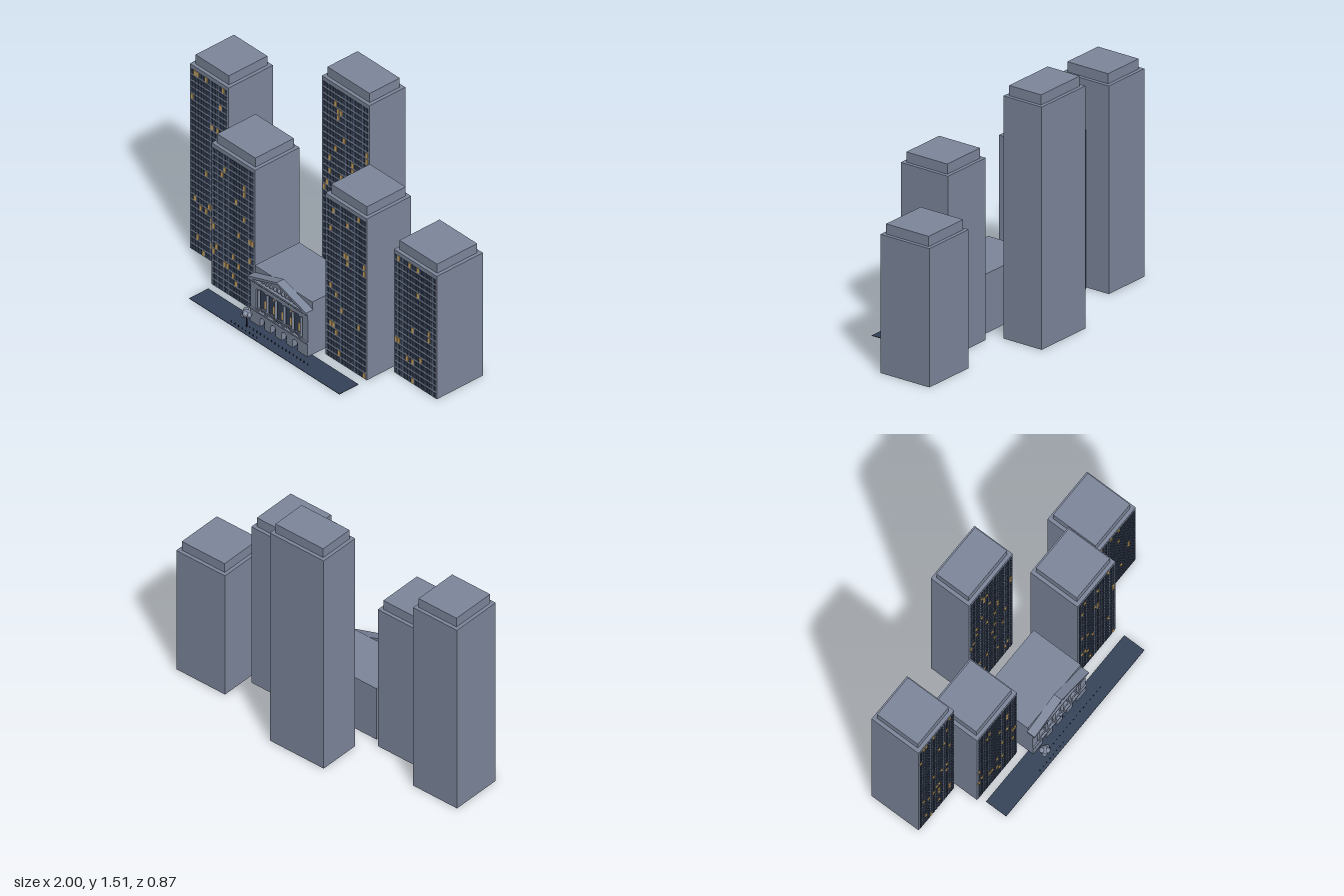
import * as THREE from 'three';
import { mergeGeometries } from 'three/addons/utils/BufferGeometryUtils.js';

const mat = (name, color) => new THREE.MeshStandardMaterial({ name, color });
const stone = mat('blue grey stone', 0x7d879c);
const dark = mat('dark navy glass', 0x344158);
const lit = mat('lit window gold', 0xd0a860);
const iron = mat('black iron', 0x1c222e);

// box from its min and max corners
function slab(x0, x1, y0, y1, z0, z1) {
  return new THREE.BoxGeometry(x1 - x0, y1 - y0, z1 - z0)
    .translate((x0 + x1) / 2, (y0 + y1) / 2, (z0 + z1) / 2);
}

// box centred on x and y
const plate = (x, y, w, h, z0, z1) => slab(x - w / 2, x + w / 2, y - h / 2, y + h / 2, z0, z1);

function part(group, name, geometry, material) {
  const mesh = new THREE.Mesh(Array.isArray(geometry) ? mergeGeometries(geometry) : geometry, material);
  mesh.name = name;
  group.add(mesh);
}

// flat outline pushed out along z
function extrude(shape, z, depth) {
  return new THREE.ExtrudeGeometry(shape, { depth, bevelEnabled: false, curveSegments: 10 }).translate(0, 0, z);
}

// small seeded generator in 0..1
function seeded(seed) {
  let s = seed;
  return () => (s = (s * 16807) % 2147483647) / 2147483647;
}

// tower with a set-back cap and a window grid on the front only
function tower(name, x0, x1, z0, z1, height, cols) {
  const g = new THREE.Group();
  g.name = name;
  const inset = 0.022, margin = 0.008;
  part(g, 'shaft', slab(x0, x1, 0, height, z0, z1), stone);
  part(g, 'roofCap', slab(x0 + inset, x1 - inset, height, height + 0.061, z0 + inset, z1 - inset), stone);
  const rows = Math.round(height / 0.0436);
  const px = (x1 - x0 - 2 * margin) / cols, py = (height - 0.02) / rows;
  const random = seeded(Math.round(height * 54321));
  const darkPanes = [], litPanes = [];
  for (let r = 0; r < rows; r++) for (let c = 0; c < cols; c++) {
    const glows = random() < 0.06;
    const x = x0 + margin + (c + 0.5) * px, y = (r + 0.5) * py;
    if (glows) litPanes.push(plate(x, y, 0.018, 0.032, z1 - 0.002, z1 + 0.003));
    else darkPanes.push(plate(x, y, 0.016, 0.029, z1 - 0.002, z1 + 0.003));
  }
  part(g, 'darkWindows', darkPanes, dark);
  part(g, 'litWindows', litPanes, lit);
  return g;
}

// classical hall with arcade, colonnade and pediment, built around x = 0
function hall() {
  const g = new THREE.Group();
  g.name = 'hall';
  g.position.x = -0.018;
  const W = 0.238, back = 0.286;
  part(g, 'hallBody', slab(-W, W, 0, 0.355, -0.045, back), stone);

  // arcade wall with four arched doorways
  const wall = new THREE.Shape();
  wall.moveTo(-W, 0).lineTo(W, 0).lineTo(W, 0.095).lineTo(-W, 0.095);
  for (let i = 0; i < 4; i++) {
    const x = (i - 1.5) * 0.09, r = 0.02;
    const hole = new THREE.Path();
    hole.moveTo(x - r, 0.002).lineTo(x - r, 0.045);
    hole.absarc(x, 0.045, r, Math.PI, 0, true);
    hole.lineTo(x + r, 0.002);
    wall.holes.push(hole);
  }
  part(g, 'arcadeWall', extrude(wall, back, 0.038), stone);
  part(g, 'doorways', slab(-0.17, 0.17, 0.002, 0.075, back, 0.292), dark);

  // upper storey
  part(g, 'sidePiers', [-1, 1].map(s => plate(s * 0.2155, 0.175, 0.045, 0.16, back, 0.32)), stone);
  part(g, 'loggiaBack', plate(0, 0.176, 0.386, 0.152, back, 0.29), dark);
  part(g, 'entablature', slab(-W, W, 0.25, 0.292, back, 0.324), stone);
  part(g, 'balconyLedge', slab(-W, W, 0.09, 0.1, back, 0.33), stone);

  // six columns, with a lit window and a balustrade in each bay
  const columns = [], windows = [], balusters = [], bay = 0.07;
  for (let i = 0; i < 6; i++) {
    const x = (i - 2.5) * bay;
    columns.push(new THREE.CylinderGeometry(0.0075, 0.009, 0.14, 12).translate(x, 0.178, 0.312));
    for (const y of [0.105, 0.247]) columns.push(plate(x, y, 0.024, 0.009, 0.3, 0.324));
    if (i === 5) break;
    const mid = x + bay / 2;
    windows.push(plate(mid, 0.138, 0.022, 0.053, 0.289, 0.293));
    if (i % 2) windows.push(plate(mid, 0.211, 0.018, 0.022, 0.289, 0.293));
    balusters.push(plate(mid, 0.116, bay, 0.004, 0.312, 0.319));
    for (let k = 1; k < 6; k++) balusters.push(plate(x + k * bay / 6, 0.107, 0.003, 0.014, 0.314, 0.317));
  }
  part(g, 'columns', columns, stone);
  part(g, 'loggiaWindows', windows, lit);
  part(g, 'balustrade', balusters, stone);

  const dentils = [];
  for (let i = -13; i <= 13; i++) dentils.push(plate(i * 0.0175, 0.286, 0.008, 0.01, 0.322, 0.331));
  part(g, 'dentils', dentils, stone);

  // pediment
  const E = W + 0.005;
  part(g, 'cornice', slab(-E, E, 0.291, 0.302, 0.284, 0.338), stone);
  const gable = new THREE.Shape();
  gable.moveTo(-W, 0.3).lineTo(W, 0.3).lineTo(0, 0.378);
  part(g, 'gable', extrude(gable, back, 0.032), stone);
  const rake = new THREE.Shape();
  rake.moveTo(-E, 0.301).lineTo(-0.21, 0.301).lineTo(0, 0.371).lineTo(0.21, 0.301)
    .lineTo(E, 0.301).lineTo(E, 0.307).lineTo(0, 0.386).lineTo(-E, 0.307);
  part(g, 'rakingCornice', extrude(rake, 0.284, 0.054), stone);
  const reliefs = [];
  for (let i = -4; i <= 4; i++) {
    const s = 1 - Math.abs(i) * 0.15;
    reliefs.push(new THREE.SphereGeometry(0.011, 10, 8).scale(s, s * 1.5, 0.9).translate(i * 0.033, 0.303 + 0.016 * s, 0.32));
  }
  part(g, 'gableReliefs', reliefs, stone);

  // slanted pole above the middle doorways
  const pole = new THREE.LineCurve3(new THREE.Vector3(0, 0.1, 0.322), new THREE.Vector3(0, 0.162, 0.362));
  part(g, 'slantedPole', new THREE.TubeGeometry(pole, 1, 0.0015, 6), iron);
  return g;
}

// small tree: a ring of leaf clumps around a larger one
function tree() {
  const g = new THREE.Group();
  g.name = 'tree';
  g.position.set(-0.222, 0, 0.378);
  part(g, 'trunk', new THREE.CylinderGeometry(0.003, 0.004, 0.08, 8).translate(0, 0.04, 0), iron);
  const clumps = [new THREE.SphereGeometry(0.026, 12, 8).translate(0, 0.09, 0)];
  for (let i = 0; i < 5; i++) {
    const a = i * Math.PI * 0.4;
    clumps.push(new THREE.SphereGeometry(0.017, 12, 8)
      .translate(Math.cos(a) * 0.018, 0.09 + Math.sin(a * 2) * 0.013, Math.sin(a) * 0.016));
  }
  part(g, 'foliage', clumps, stone);
  return g;
}

export function createModel() {
  const model = new THREE.Group();
  model.name = 'cityBlock';
  model.add(
    tower('farLeftTower', -1, -0.68, -0.23, 0.1, 1.245, 13),
    tower('nearLeftTower', -0.66, -0.3, -0.085, 0.245, 0.955, 15),
    tower('centralTower', -0.205, 0.187, -0.435, -0.167, 1.452, 16),
    tower('nearRightTower', 0.265, 0.605, -0.103, 0.228, 1.09, 14),
    tower('farRightTower', 0.645, 1, -0.28, 0.062, 0.83, 15),
    hall(), tree());
  part(model, 'plaza', slab(-0.637, 0.605, 0, 0.003, 0.29, 0.432), dark);

  // two rows of small bollards
  const bollards = [];
  const row = (count, x, z) => {
    for (let i = 0; i < count; i++) {
      bollards.push(new THREE.CylinderGeometry(0.002, 0.0025, 0.014, 8).translate(x + i * 0.03, 0.008, z));
    }
  };
  row(17, -0.2, 0.375);
  row(8, -0.31, 0.413);
  part(model, 'bollards', bollards, iron);
  return model;
}
